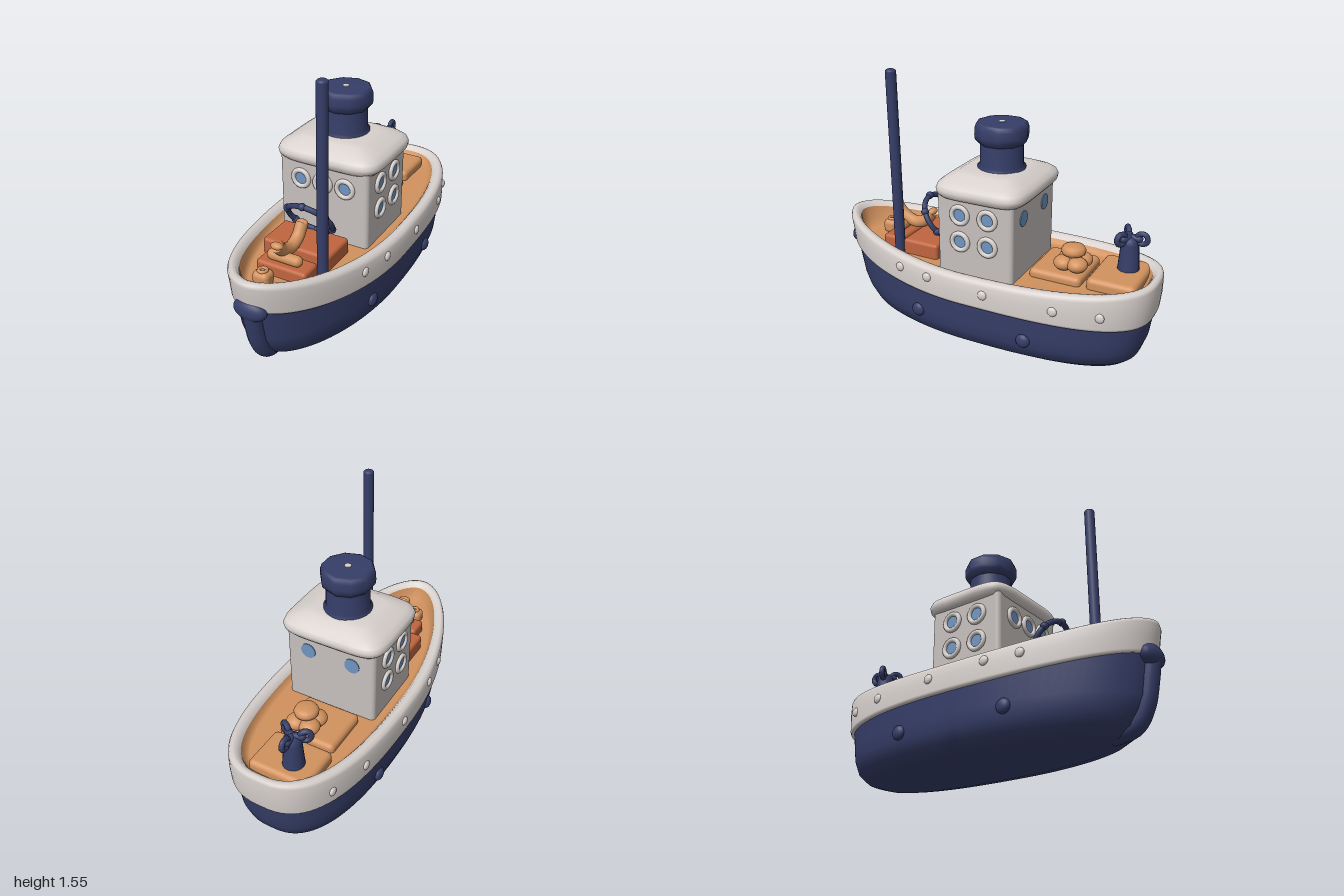
import * as THREE from 'three';
import { RoundedBoxGeometry } from 'three/addons/geometries/RoundedBoxGeometry.js';

const paint = (name, color) => {
  const m = new THREE.MeshStandardMaterial({ color });
  m.name = name;
  return m;
};

const BOW = 1.9, STERN = 2.7, SEGS = 96;

// Joins rings [halfWidth, bowLength, sternLength, midY, bowY, sternY] into a skin
function loft(rings, nBow = BOW, nStern = STERN) {
  const pos = [], index = [];
  rings.forEach(([w, f, b, y, yb = y, ys = y], i) => {
    for (let j = 0; j < SEGS; j++) {
      const a = (j / SEGS) * Math.PI * 2, c = Math.cos(a), s = Math.sin(a);
      const n = s >= 0 ? nBow : nStern;
      const u = Math.pow(Math.abs(s), 2 / n);
      const x = w * Math.sign(c) * Math.pow(Math.abs(c), 2 / n);
      const z = s >= 0 ? f * u : -b * u;
      pos.push(x, y + ((s >= 0 ? yb : ys) - y) * u * u, z);
      if (i) {
        const k = (j + 1) % SEGS, lo = (i - 1) * SEGS, hi = i * SEGS;
        index.push(lo + j, hi + j, lo + k, lo + k, hi + j, hi + k);
      }
    }
  });
  const g = new THREE.BufferGeometry();
  g.setAttribute('position', new THREE.Float32BufferAttribute(pos, 3));
  g.setIndex(index);
  g.computeVertexNormals();
  return g;
}

// Half-width of the hull plan at a given z
function planX(w, f, b, z) {
  const n = z >= 0 ? BOW : STERN, t = z >= 0 ? z / f : -z / b;
  return w * Math.pow(1 - Math.pow(t, n), 1 / n);
}

const path = pts => new THREE.CatmullRomCurve3(pts.map(p => new THREE.Vector3(...p)));
const lathe = (pts, n = 32) => new THREE.LatheGeometry(pts.map(p => new THREE.Vector2(...p)), n);

export function createModel() {
  const boat = new THREE.Group();
  boat.name = 'boat';
  const navy = paint('navy', 0x363e69);
  const white = paint('warm white', 0xd8d1ce);
  const grey = paint('cabin grey', 0xc6c0bd);
  const tan = paint('tan', 0xd2925e);
  const rust = paint('rust', 0xc0653f);
  const blue = paint('window blue', 0x6f95c0);

  const add = (name, geo, mat, p = [0, 0, 0], parent = boat) => {
    const m = new THREE.Mesh(geo, mat);
    m.name = name;
    m.position.set(...p);
    parent.add(m);
    return m;
  };
  const ball = (name, mat, p, s) => {
    const m = add(name, new THREE.SphereGeometry(1, 24, 16), mat, p);
    m.scale.set(...s);
    return m;
  };
  const block = (name, mat, [x0, x1], [y0, y1], [z0, z1], r) =>
    add(name, new RoundedBoxGeometry(x1 - x0, y1 - y0, z1 - z0, 4, r), mat,
      [(x0 + x1) / 2, (y0 + y1) / 2, (z0 + z1) / 2]);

  // Hull, gunwale band and deck
  add('hull', loft([
    [.001, .001, .001, 0], [.2, .68, .8, .003], [.3, .77, .875, .025],
    [.365, .84, .92, .07], [.39, .89, .945, .14], [.398, .92, .955, .21],
    [.402, .96, .97, .345, .44, .32],
  ]), navy);
  add('gunwale', loft([
    [.395, .95, .96, .33, .415, .305], [.42, .968, .985, .33, .415, .305],
    [.426, .975, .99, .345, .43, .32], [.424, .987, 1, .42, .51, .42],
    [.42, 1, 1, .465, .575, .505], [.41, .995, .995, .485, .595, .523],
    [.39, .978, .98, .495, .602, .53], [.36, .955, .96, .49, .595, .525],
    [.343, .937, .943, .468, .57, .5],
  ]), white);
  add('deck', loft([
    [.343, .937, .943, .468, .57, .5], [.33, .92, .925, .448, .49, .46],
    [.31, .88, .89, .44], [.001, .001, .001, .44],
  ]), tan);

  // Stem along the bow
  add('stem', new THREE.TubeGeometry(path([[0, .42, .943], [0, .3, .922],
    [0, .17, .888], [0, .085, .83], [0, .055, .7]]), 32, .055, 16), navy);
  ball('stemHead', navy, [0, .415, .952], [.1, .062, .05]);

  // Rivets on both sides
  for (const s of [1, -1]) {
    [[.42, .445], [.22, .44], [-.14, .42], [-.54, .41], [-.78, .4]].forEach(([z, y]) =>
      ball('bandRivet', white, [s * planX(.424, .985, 1, z), y, z], [.014, .027, .027]));
    [[.31, .19], [-.37, .18]].forEach(([z, y]) =>
      ball('hullBoss', navy, [s * planX(.396, .91, .952, z), y, z], [.025, .041, .041]));
  }

  // Cabin with domed roof
  block('cabin', grey, [-.28, .28], [.42, .95], [-.25, .22], .025);
  add('roof', loft([
    [.26, .215, .215, .885], [.3, .255, .255, .89], [.318, .272, .272, .91],
    [.322, .277, .277, .935], [.312, .267, .267, .96], [.28, .24, .24, .982],
    [.21, .18, .18, 1.012], [.17, .14, .14, 1.02], [.001, .001, .001, 1.022],
  ], 5.5, 5.5), white, [0, 0, -.025]);

  // Portholes
  const porthole = (p, turn, rim) => {
    const g = new THREE.Group();
    g.name = 'porthole';
    g.position.set(...p);
    g.rotation.y = turn;
    boat.add(g);
    const glass = add('glass', new THREE.CylinderGeometry(.046, .046, .008, 24), blue, [0, 0, .001], g);
    glass.rotation.x = Math.PI / 2;
    if (rim) add('windowRim', new THREE.TorusGeometry(.049, .014, 10, 28), white, [0, 0, .004], g);
  };
  for (const x of [-.14, 0, .14]) porthole([x, .79, .22], 0, true);
  for (const x of [-.14, .14]) porthole([x, .79, -.25], Math.PI, false);
  for (const s of [1, -1])
    for (const z of [.072, -.1])
      for (const y of [.8, .64]) porthole([s * .28, y, z], s * Math.PI / 2, true);

  // Funnel with octagonal cap
  add('funnel', lathe([[.138, 1], [.138, 1.025], [.125, 1.035], [.122, 1.19]]), navy, [0, 0, -.045]);
  add('funnelCap', lathe([[.11, 1.155], [.13, 1.16], [.152, 1.185], [.155, 1.21],
    [.154, 1.25], [.145, 1.275], [.13, 1.28], [0, 1.28]], 10), navy, [0, 0, -.045]);
  add('funnelDot', new THREE.CylinderGeometry(.02, .02, .008, 16), white, [0, 1.28, -.045]);

  // Mast
  add('mast', new THREE.TubeGeometry(path([[.185, .43, .545], [.19, 1, .545], [.196, 1.535, .545]]),
    12, .031, 20), navy);
  ball('mastTip', navy, [.196, 1.535, .545], [.031, .017, .031]);

  // Tilted hoop with beads
  const hoop = new THREE.Group();
  hoop.name = 'hoop';
  hoop.position.set(0, .638, .365);
  hoop.rotation.x = .6;
  boat.add(hoop);
  add('hoopRing', new THREE.TorusGeometry(.135, .016, 10, 40), navy, [0, 0, 0], hoop);
  for (let i = 0; i < 6; i++) {
    const a = Math.PI / 6 + i * Math.PI / 3;
    add('hoopBead', new THREE.SphereGeometry(.023, 14, 10), navy,
      [.137 * Math.cos(a), .137 * Math.sin(a), 0], hoop);
  }

  // Foredeck crates and curved fitting
  block('frontCrate', rust, [-.22, .2], [.42, .53], [.28, .515], .02);
  block('bowCrate', rust, [-.15, .16], [.42, .51], [.55, .685], .02);
  const horn = path([[-.01, .635, .68], [-.01, .585, .63], [-.01, .555, .55], [-.01, .58, .48], [-.01, .645, .43]]);
  add('hornFitting', new THREE.TubeGeometry(horn, 24, .036, 14), tan);
  for (const [z, y] of [[.68, .635], [.43, .645]])
    ball('hornTip', tan, [-.01, y, z], [.036, .02, .025]);
  const bar = add('crossBar', new THREE.CapsuleGeometry(.032, .15, 6, 14), tan, [0, .535, .625]);
  bar.rotation.z = Math.PI / 2;
  block('bowStud', tan, [-.1, 0], [.43, .52], [.715, .805], .03);
  add('bowStudRing', new THREE.TorusGeometry(.022, .01, 8, 16), tan, [-.05, .52, .76]).rotation.x = Math.PI / 2;

  // Aft cushions and lobed knob
  block('middleCushion', tan, [-.21, .135], [.42, .49], [-.59, -.28], .03);
  block('sternCushion', tan, [-.235, .13], [.42, .505], [-.9, -.62], .03);
  for (let i = 0; i < 4; i++) {
    const a = Math.PI / 4 + i * Math.PI / 2;
    ball('knobLobe', tan, [.005 + .058 * Math.cos(a), .53, -.5 + .055 * Math.sin(a)], [.06, .043, .06]);
  }
  add('knobTop', lathe([[.05, .5], [.05, .57], [.066, .58], [.071, .6], [.06, .62], [.035, .628], [0, .63]], 24),
    tan, [.005, 0, -.5]);

  // Stern post with three looped arms
  add('sternPost', lathe([[.065, .46], [.06, .52], [.05, .66], [.045, .69], [.025, .705], [0, .71]], 20),
    navy, [-.095, 0, -.79]);
  for (let i = 0; i < 3; i++) {
    const arm = new THREE.Group();
    arm.name = 'postArm';
    arm.position.set(-.095, .695, -.79);
    arm.rotation.y = Math.PI / 2 + i * Math.PI * 2 / 3;
    boat.add(arm);
    const rod = add('armRod', new THREE.CapsuleGeometry(.022, .04, 4, 12), navy, [.03, 0, 0], arm);
    rod.rotation.z = Math.PI / 2;
    add('armLoop', new THREE.TorusGeometry(.03, .016, 8, 20), navy, [.068, .003, 0], arm);
  }
  return boat;
}
